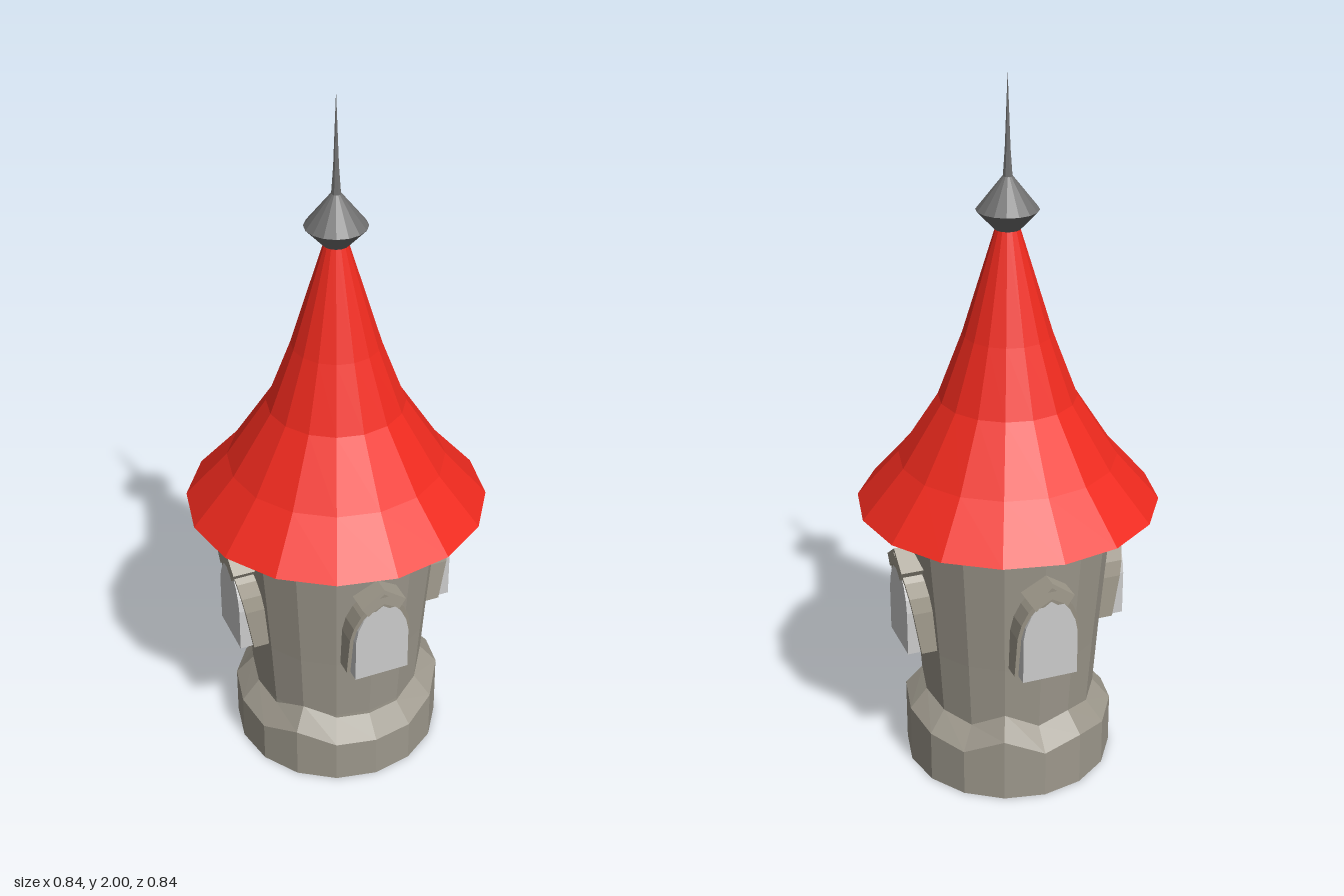
import * as THREE from 'three';

const SIDES = 16;
const mat = (color, side = THREE.FrontSide) =>
  new THREE.MeshStandardMaterial({ color, side, flatShading: true });

const stone = mat(0x9d988c, THREE.DoubleSide);
const trim = mat(0xa29c8e);
const paneMat = mat(0xcccccc);
const red = mat(0xf02a1e, THREE.DoubleSide);
const metal = mat(0x707070);

function lathe(name, profile, material, sides = SIDES) {
  const pts = profile.map(([r, y]) => new THREE.Vector2(r, y));
  const mesh = new THREE.Mesh(new THREE.LatheGeometry(pts, sides), material);
  mesh.name = name;
  return mesh;
}

// Rough-topped foundation ring; rim heights run round from +x towards +z
function createBase() {
  const rim = [0.235, 0.25, 0.215, 0.19, 0.19, 0.19, 0.22, 0.185,
    0.2, 0.21, 0.2, 0.22, 0.2, 0.25, 0.2, 0.215];
  const base = lathe('base', [[0.242, 0.14], [0.242, 0], [0.3, 0], [0.3, 0.14], [0.248, 0.2]], stone);
  const p = base.geometry.attributes.position;
  for (let i = 0; i < p.count; i++) {
    if (p.getY(i) < 0.05) continue;
    const a = Math.atan2(p.getZ(i), p.getX(i)) / (Math.PI * 2);
    const h = rim[(Math.round(a * SIDES) + SIDES) % SIDES];
    p.setY(i, h + p.getY(i) - 0.2);
  }
  base.geometry.computeVertexNormals();
  return base;
}

// Pointed arch outline, w = half width
function archPath(path, w, bottom, spring, top) {
  path.moveTo(-w, bottom);
  path.lineTo(w, bottom);
  path.lineTo(w, spring);
  path.quadraticCurveTo(w * 0.92, spring + (top - spring) * 0.6, 0, top);
  path.quadraticCurveTo(-w * 0.92, spring + (top - spring) * 0.6, -w, spring);
  path.closePath();
  return path;
}

function extrude(name, shape, z0, z1, material) {
  const geo = new THREE.ExtrudeGeometry(shape, { depth: z1 - z0, bevelEnabled: false, curveSegments: 4 });
  geo.translate(0, 0, z0);
  const mesh = new THREE.Mesh(geo, material);
  mesh.name = name;
  return mesh;
}

function createWindow() {
  const g = new THREE.Group();
  g.name = 'window';
  g.add(extrude('pane', archPath(new THREE.Shape(), 0.079, 0.41, 0.54, 0.67), 0.22, 0.327, paneMat));

  // Surround leans outward with the wall
  const ring = archPath(new THREE.Shape(), 0.09, 0.41, 0.54, 0.695);
  ring.holes.push(archPath(new THREE.Path(), 0.072, 0.411, 0.54, 0.65));
  const frame = extrude('frame', ring, 0.22, 0.3, trim);
  const p = frame.geometry.attributes.position;
  for (let i = 0; i < p.count; i++) {
    if (p.getZ(i) > 0.25) p.setZ(i, 0.29 + (p.getY(i) - 0.41) * 0.165);
  }
  frame.geometry.computeVertexNormals();
  g.add(frame);

  // Chevron hood over the arch
  const hood = new THREE.Shape([[-0.065, 0.66], [-0.045, 0.63], [-0.035, 0.64], [0, 0.66],
    [0.035, 0.64], [0.045, 0.63], [0.065, 0.66], [0, 0.708]].map(([x, y]) => new THREE.Vector2(x, y)));
  g.add(extrude('hood', hood, 0.24, 0.335, trim));
  return g;
}

export function createModel() {
  const model = new THREE.Group();
  model.name = 'tower';
  model.add(createBase());

  // Flaring wall, open below and hidden under the roof
  model.add(lathe('wall', [[0.246, 0.12], [0.248, 0.2], [0.262, 0.4], [0.296, 0.8], [0.298, 0.94]], stone));

  for (let i = 0; i < 4; i++) {
    const w = createWindow();
    w.rotation.y = i * Math.PI / 2;
    model.add(w);
  }

  // Sweeping conical roof, open underneath
  model.add(lathe('roof', [[0.42, 0.81], [0.302, 0.945], [0.19, 1.12], [0.122, 1.3], [0.03, 1.6]], red));

  // Finial: knob and spike
  model.add(lathe('finialKnob', [[0, 1.588], [0.035, 1.588], [0.084, 1.64], [0.014, 1.728], [0, 1.728]], metal));
  model.add(lathe('finialSpike', [[0.014, 1.72], [0.008, 1.8], [0, 2]], metal, 8));
  return model;
}
